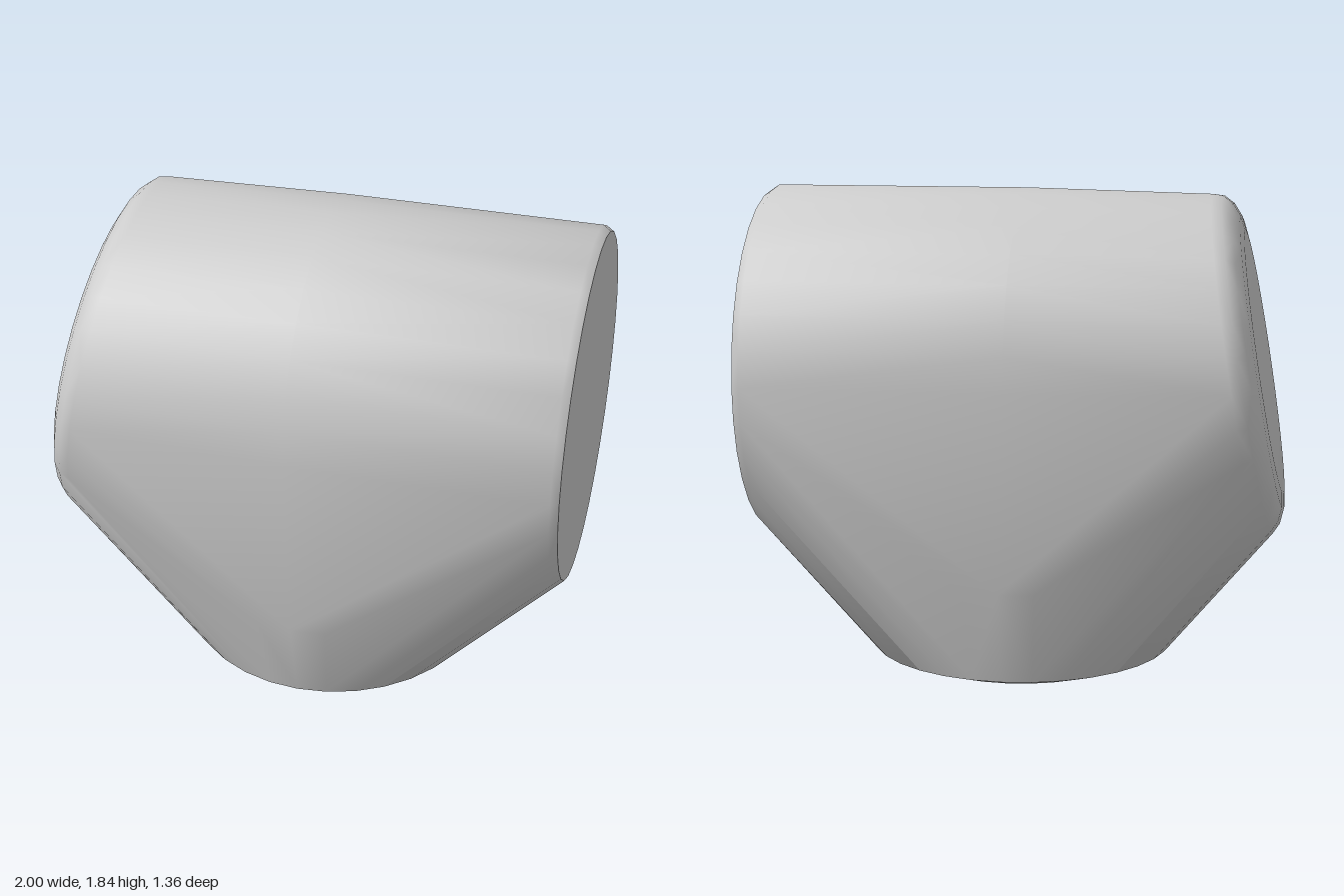
import * as THREE from 'three';
import { toCreasedNormals } from 'three/addons/utils/BufferGeometryUtils.js';
import { ConvexGeometry } from 'three/addons/geometries/ConvexGeometry.js';

const SEGMENTS = 32;

// Circle of points around (x, y, 0), lying in the plane spanned by z and the direction (ux, uy)
function ring(x, y, radius, ux, uy) {
  return Array.from({ length: SEGMENTS }, (_, i) => {
    const a = (i / SEGMENTS) * Math.PI * 2;
    const u = Math.cos(a) * radius;
    return new THREE.Vector3(x + ux * u, y + uy * u, Math.sin(a) * radius);
  });
}

export function createModel() {
  const points = [];

  // Foot: bevelled base flaring up to the full width
  for (const [y, r] of [[0, 0.445], [0.05, 0.585], [0.41, 0.68]]) {
    points.push(...ring(0.02, y, r, 1, 0));
  }

  // Horizontal barrel with a small chamfer at its flat end
  for (const [x, r] of [[0, 0.68], [0.97, 0.68], [1, 0.66]]) {
    points.push(...ring(x, 1.155, r, 0, 1));
  }

  // Tilted end cap: flat disc with a rounded rim
  const ux = 0.168, uy = 0.986;
  const rimSteps = 4;
  for (let i = 0; i <= rimSteps; i++) {
    const a = (i / rimSteps) * Math.PI / 2;
    const radius = 0.507 + 0.158 * Math.sin(a);
    const depth = 0.1 * (1 - Math.cos(a));
    points.push(...ring(-0.915 + uy * depth, 1.18 - ux * depth, radius, ux, uy));
  }

  // One convex skin stretched over all the rings
  const geometry = toCreasedNormals(new ConvexGeometry(points), 0.7);
  const body = new THREE.Mesh(geometry, new THREE.MeshStandardMaterial({ color: 0xcccccc }));
  body.name = 'body';

  const group = new THREE.Group();
  group.name = 'roundedBlock';
  group.add(body);
  return group;
}
